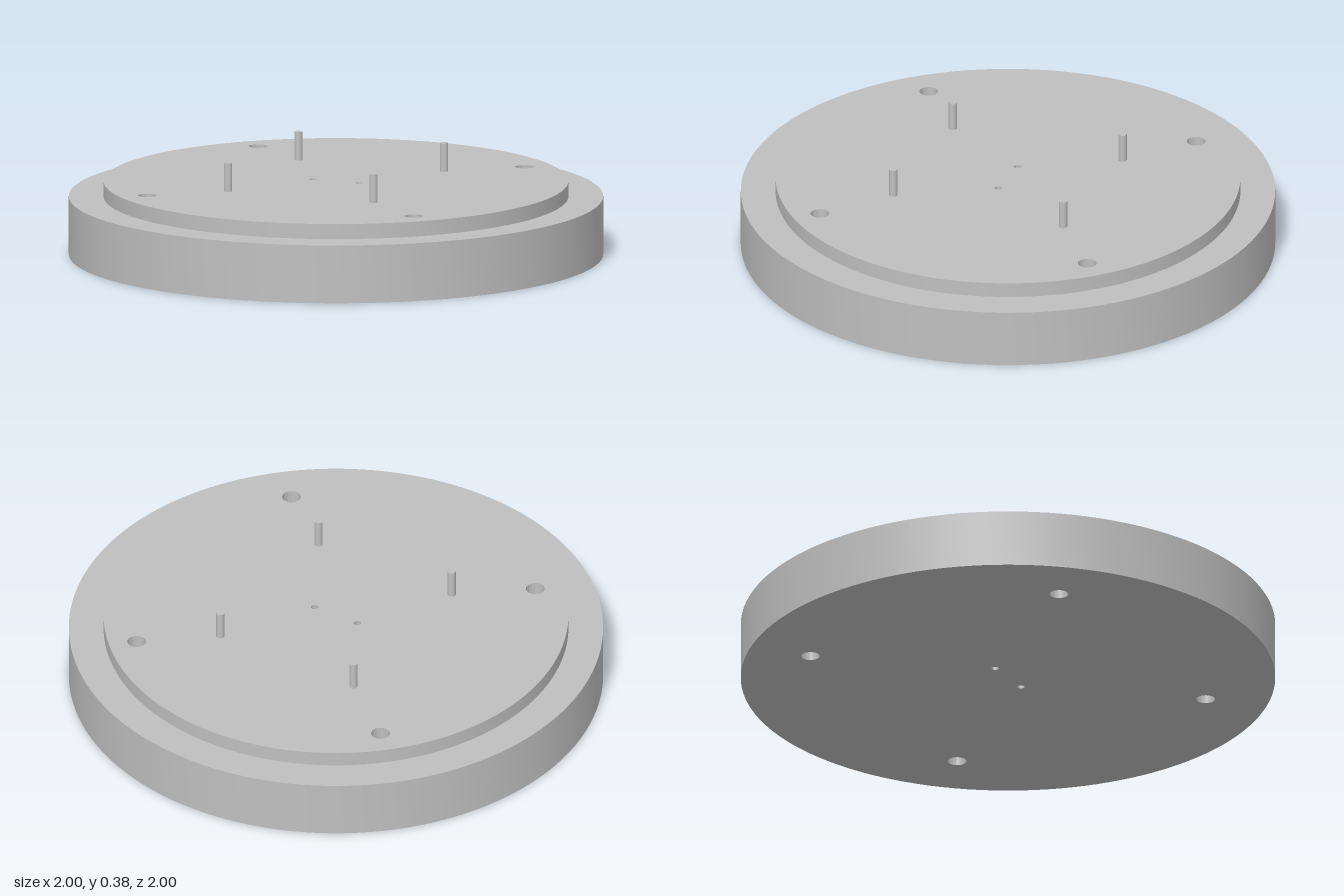
import * as THREE from 'three';
import { toCreasedNormals } from 'three/addons/utils/BufferGeometryUtils.js';

const BASE_TOP = 0.22, PLATE_TOP = 0.277, PIN_TOP = 0.385;

// Through holes: [x, z, radius]
const HOLES = [[-0.095, 0, 0.014], [0.095, 0, 0.014]];
for (const x of [-0.54, 0.54]) for (const z of [-0.54, 0.54]) HOLES.push([x, z, 0.035]);

// Round plate standing between two heights, pierced by every hole
function drilledDisc(radius, bottom, top) {
  const shape = new THREE.Shape().absarc(0, 0, radius, 0, Math.PI * 2, false);
  for (const [x, z, r] of HOLES) {
    shape.holes.push(new THREE.Path().absarc(x, -z, r, 0, Math.PI * 2, true));
  }
  const geometry = new THREE.ExtrudeGeometry(shape, {
    depth: top - bottom, bevelEnabled: false, curveSegments: 64,
  });
  geometry.rotateX(-Math.PI / 2).translate(0, bottom, 0);
  return toCreasedNormals(geometry, Math.PI / 6);
}

export function createModel() {
  const group = new THREE.Group();
  const grey = new THREE.MeshStandardMaterial({ color: 0xbfbfbf });
  grey.name = 'grey';

  const add = (name, geometry) => {
    const mesh = new THREE.Mesh(geometry, grey);
    mesh.name = name;
    group.add(mesh);
    return mesh;
  };

  // Wide base and the raised plate on it
  add('base', drilledDisc(1, 0, BASE_TOP));
  add('raisedPlate', drilledDisc(0.87, BASE_TOP, PLATE_TOP));

  // Four upright pins
  const pinHeight = PIN_TOP - PLATE_TOP;
  const pinGeometry = new THREE.CylinderGeometry(0.0155, 0.0155, pinHeight, 32);
  for (const x of [-0.295, 0.295]) {
    for (const z of [-0.343, 0.343]) {
      const name = (z > 0 ? 'front' : 'back') + (x > 0 ? 'Left' : 'Right') + 'Pin';
      add(name, pinGeometry).position.set(x, PLATE_TOP + pinHeight / 2, z);
    }
  }
  return group;
}
